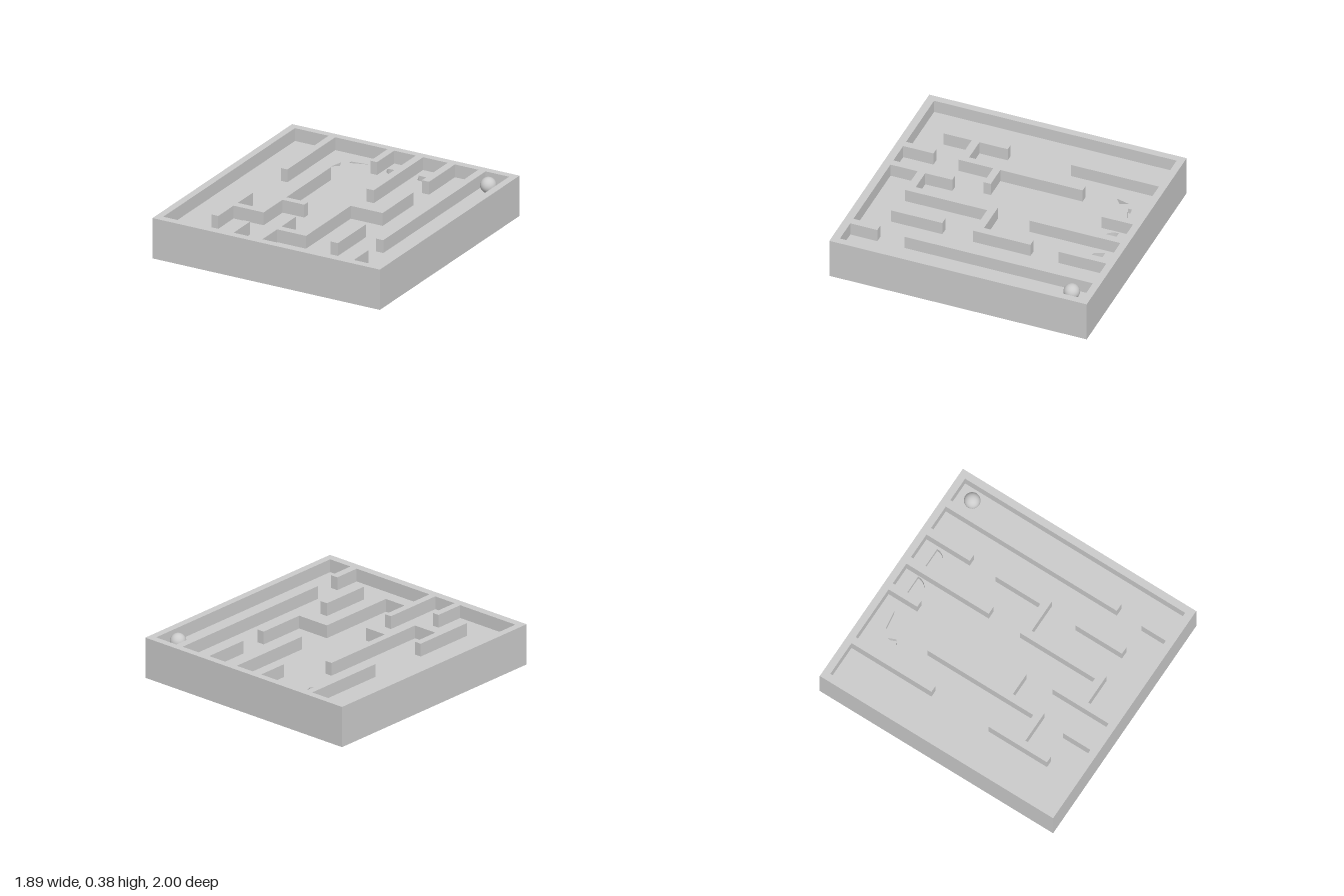
import * as THREE from 'three';

const BASE = 0.05, FLOOR = 0.265, PIT = 0.225, TOP = 0.365, W = 1.89, D = 2;
const mat = new THREE.MeshStandardMaterial({ color: 0xcccccc, flatShading: true });
const smooth = new THREE.MeshStandardMaterial({ color: 0xcccccc });

// Plan points are [x, z]; shapes are drawn with y = -z so they lie flat after rotation.
const plan = (pts) => pts.map(([x, z]) => new THREE.Vector2(x, -z));
// Counter-clockwise seen from above, so that holes get walls facing inwards
const rect = (x0, z0, x1, z1) => [[x0, z1], [x1, z1], [x1, z0], [x0, z0]];

function slab(outline, holes, y0, y1) {
  const shape = new THREE.Shape(plan(outline));
  for (const h of holes) shape.holes.push(new THREE.Path(plan(h)));
  const geo = new THREE.ExtrudeGeometry(shape, { depth: y1 - y0, bevelEnabled: false });
  return geo.rotateX(-Math.PI / 2).translate(0, y0, 0);
}

// Half disc bulging towards the front, between two angles
function halfDisc(cx, cz, r, a0, a1) {
  const pts = [];
  for (let i = 0; i <= 16; i++) {
    const a = a0 + ((a1 - a0) * i) / 16;
    pts.push([cx + r * Math.cos(a), cz + r * Math.sin(a) * 1.12]);
  }
  return pts;
}

export function createModel() {
  const group = new THREE.Group();
  const add = (name, geo, m = mat) => {
    const mesh = new THREE.Mesh(geo, m);
    mesh.name = name;
    group.add(mesh);
    return mesh;
  };

  // Inner edge of the frame, stepping around each wall joined to it
  const back = -0.945, front = 0.94, side = 0.89;
  const inner = [[-side, back]];
  for (const [x0, x1, z] of [[-0.61, -0.555, -0.26], [-0.12, -0.065, -0.7],
    [0.115, 0.175, -0.24], [0.38, 0.44, -0.575], [0.635, 0.695, 0.52]]) {
    inner.push([x0, back], [x0, z], [x1, z], [x1, back]);
  }
  inner.push([side, back], [side, front]);
  inner.push([0.695, front], [0.695, 0.73], [0.635, 0.73], [0.635, front]);
  // long stepped wall rising from the front
  inner.push([-0.065, front], [-0.065, 0.73], [0.175, 0.73], [0.175, 0.09], [0.44, 0.09],
    [0.44, -0.355], [0.38, -0.355], [0.38, 0.03], [0.115, 0.03], [0.115, 0.67],
    [-0.065, 0.67], [-0.065, 0.46], [-0.12, 0.46], [-0.12, front]);
  inner.push([-0.305, front], [-0.305, 0.705], [-0.36, 0.705], [-0.36, front], [-side, front]);
  add('frameAndWalls', slab(rect(-W / 2, -D / 2, W / 2, D / 2), [inner], BASE, TOP));

  // Free-standing walls
  add('branchedWall', slab([[-0.61, 0.23], [-0.555, 0.23], [-0.555, 0.45], [-0.36, 0.45],
    [-0.36, -0.455], [-0.305, -0.455], [-0.305, 0.185], [-0.125, 0.185], [-0.125, 0.24],
    [-0.305, 0.24], [-0.305, 0.51], [-0.555, 0.51], [-0.555, 0.73], [-0.61, 0.73]], [], FLOOR, TOP));
  add('straightWall', slab(rect(0.38, 0.33, 0.44, 0.73), [], FLOOR, TOP));

  // Floor with shallow pits near the back
  const pits = [
    halfDisc(0.028, -0.84, 0.081, 0, Math.PI),
    [...halfDisc(0.28, -0.84, 0.079, 0, Math.PI * 0.72), [0.2, -0.84]],
    [[-0.35, -0.82], [-0.2, -0.84], [-0.35, -0.79]],
    [[-0.405, -0.77], [-0.38, -0.71], [-0.43, -0.67]],
  ];
  add('floor', slab(rect(-0.92, -0.975, 0.92, 0.97), pits, PIT, FLOOR));
  add('pitBottom', slab(rect(-0.9, -0.95, 0.9, 0.95), [], BASE + 0.01, PIT));

  // Underside tapering to a smaller foot
  const under = new THREE.BoxGeometry(W, BASE, D).translate(0, BASE / 2, 0);
  const p = under.attributes.position;
  for (let i = 0; i < p.count; i++) {
    if (p.getY(i) < BASE / 2) p.setXYZ(i, Math.sign(p.getX(i)) * 0.7, 0, Math.sign(p.getZ(i)) * 0.75);
  }
  add('taperedUnderside', under);

  // Ball resting in the back corner
  add('ball', new THREE.SphereGeometry(0.06, 32, 20), smooth).position.set(0.79, FLOOR + 0.06, -0.82);

  return group;
}
